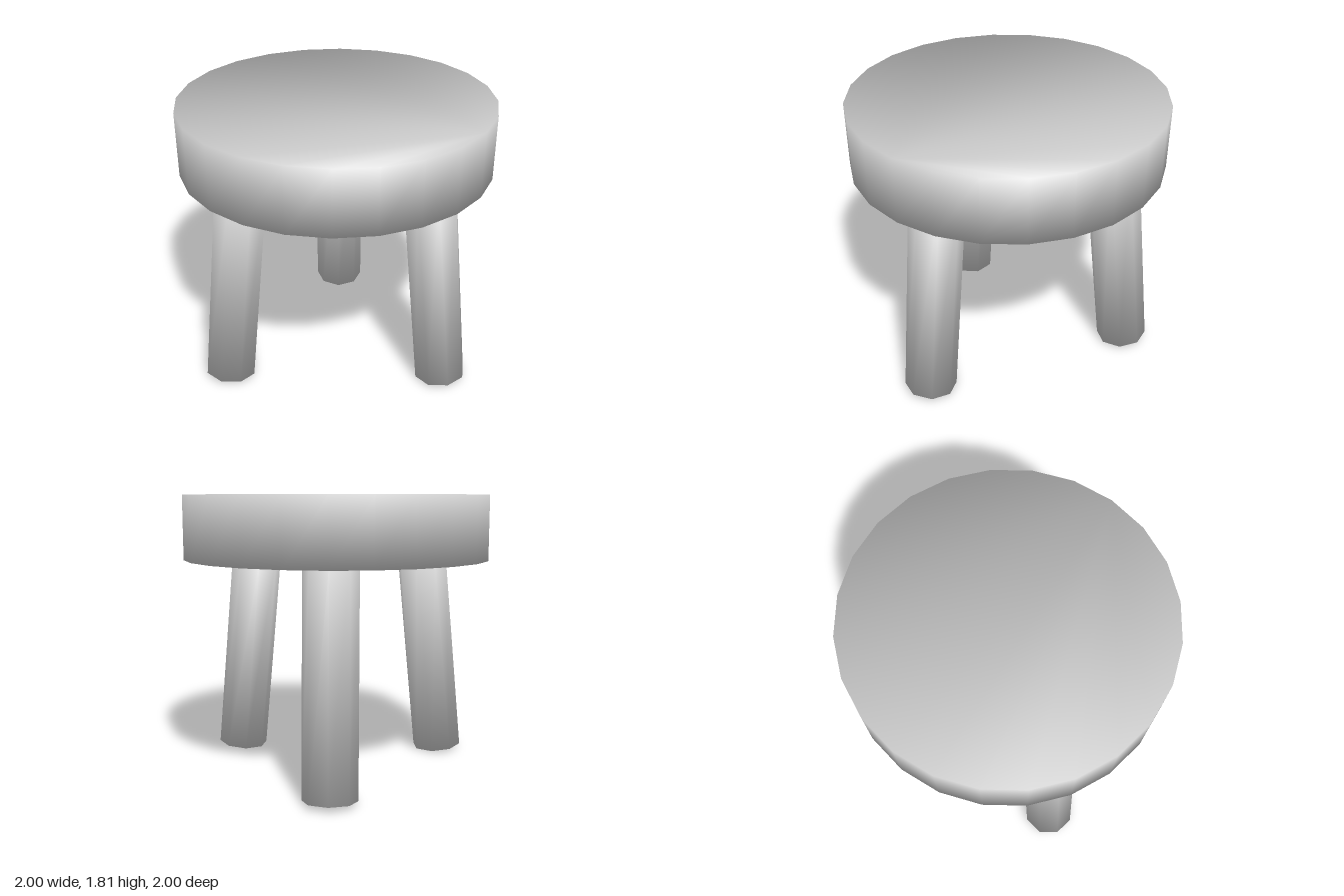
import * as THREE from 'three';

// Prism with shared rim vertices, so shading rolls smoothly over the rim.
// The caps are single polygons without a centre vertex.
function softPrism(radius, y0, y1, sides) {
  const pos = [], nor = [], idx = [];
  // rim normal: average of cap and side faces, weighted by corner angle
  const up = (Math.PI - 2 * Math.PI / sides) / (Math.PI * Math.cos(Math.PI / sides));
  const len = Math.hypot(1, up);
  for (const [y, s] of [[y0, -1], [y1, 1]]) {
    for (let i = 0; i < sides; i++) {
      const a = i / sides * Math.PI * 2, c = Math.cos(a), d = -Math.sin(a);
      pos.push(c * radius, y, d * radius);
      nor.push(c / len, s * up / len, d / len);
    }
  }
  for (let i = 0; i < sides; i++) {
    const j = (i + 1) % sides;
    idx.push(i, j, sides + j, i, sides + j, sides + i);
    if (i > 0 && i < sides - 1) {
      idx.push(0, i + 1, i);
      idx.push(sides, sides + i, sides + i + 1);
    }
  }
  const g = new THREE.BufferGeometry();
  g.setAttribute('position', new THREE.Float32BufferAttribute(pos, 3));
  g.setAttribute('normal', new THREE.Float32BufferAttribute(nor, 3));
  g.setIndex(idx);
  return g;
}

export function createModel() {
  const model = new THREE.Group();
  model.name = 'stool';
  const grey = new THREE.MeshStandardMaterial({ color: 0xcccccc });
  grey.name = 'light grey';

  // Thick round seat
  const seat = new THREE.Mesh(softPrism(1, 1.4, 1.815, 24), grey);
  seat.name = 'seat';
  model.add(seat);

  // Three splayed legs, evenly spaced around the seat
  const legGeometry = softPrism(0.17, 0, 1.41, 8);
  ['leftLeg', 'backRightLeg', 'frontRightLeg'].forEach((name, i) => {
    const pivot = new THREE.Group();
    pivot.name = name;
    pivot.rotation.y = i * Math.PI * 2 / 3;
    const leg = new THREE.Mesh(legGeometry, grey);
    leg.name = name + 'Post';
    leg.position.set(0.82, 0.019, 0);
    leg.rotation.z = 0.11;
    pivot.add(leg);
    model.add(pivot);
  });
  // rotation.y by +120 degrees carries +x towards the back right
  return model;
}
